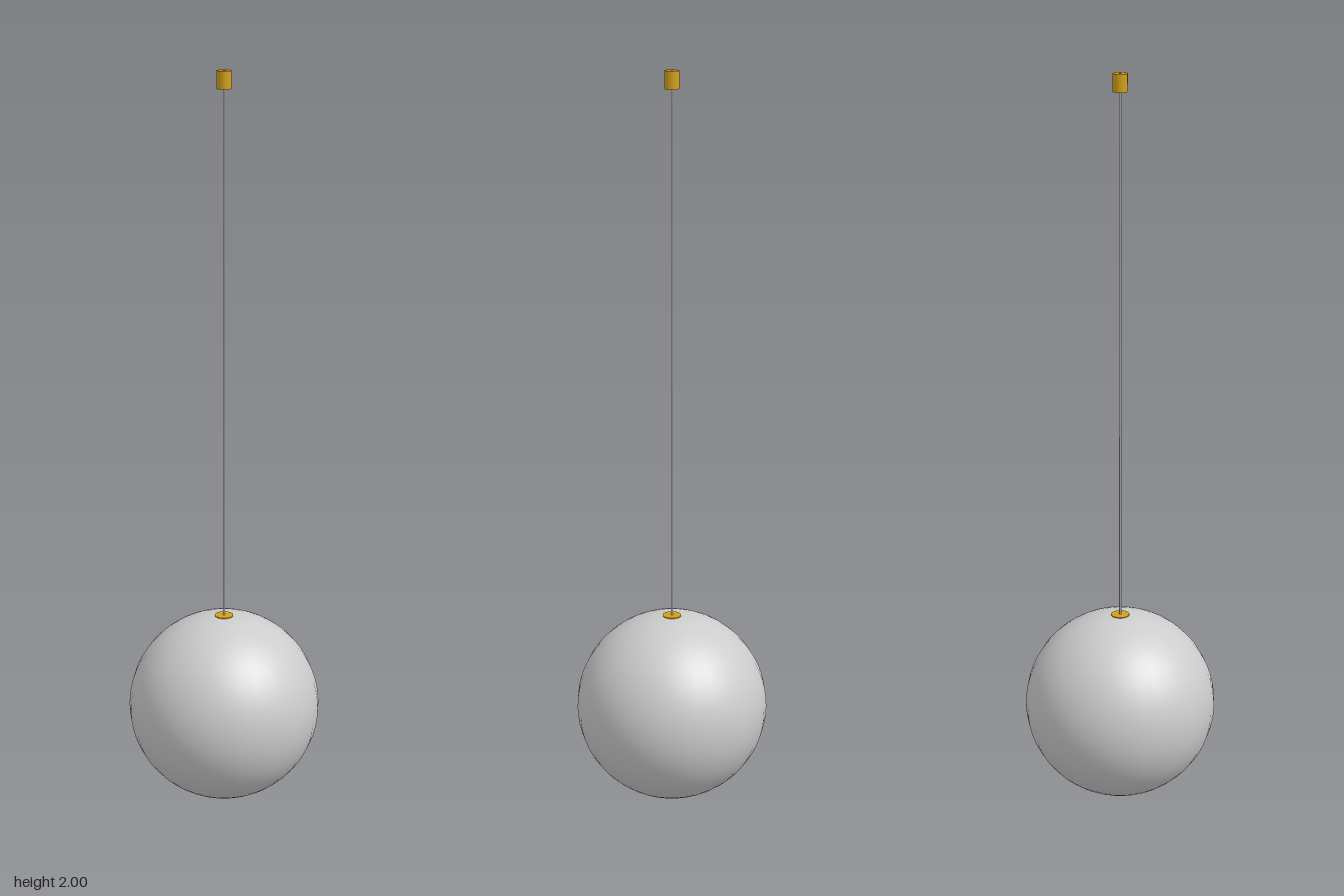
import * as THREE from 'three';

const RADIUS = 0.262;

export function createModel() {
  const model = new THREE.Group();
  model.name = 'pendantLamp';
  const grey = new THREE.MeshStandardMaterial({ color: 0xcccccc });
  const brass = new THREE.MeshStandardMaterial({ color: 0xd4a017 });

  const add = (name, geometry, material, y) => {
    const mesh = new THREE.Mesh(geometry, material);
    mesh.name = name;
    mesh.position.y = y;
    model.add(mesh);
  };
  // Upright cylinder from y0 to y1
  const rod = (name, radius, y0, y1, sides, material) =>
    add(name, new THREE.CylinderGeometry(radius, radius, y1 - y0, sides), material, (y0 + y1) / 2);

  // Globe shade
  add('globe', new THREE.SphereGeometry(RADIUS, 32, 32), grey, RADIUS);

  // Brass collar set into the top of the globe
  rod('collar', 0.025, 0.49, 0.525, 32, brass);

  // Thin cord, and the ceiling mount it hangs from
  rod('cord', 0.003, 0.51, 2, 12, grey);
  rod('ceilingMount', 0.019, 1.953, 1.999, 32, brass);

  return model;
}
